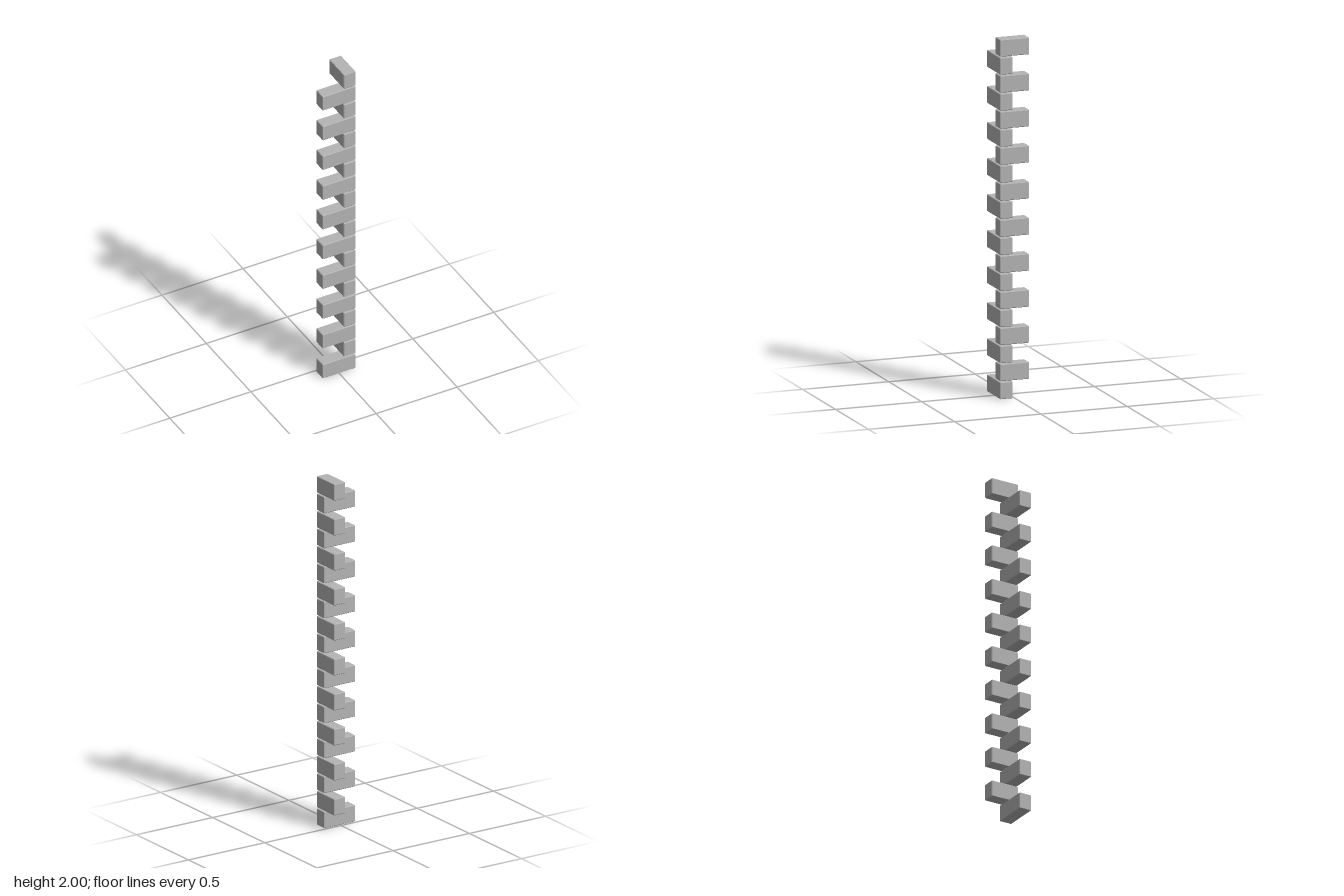
import * as THREE from 'three';
import { ConvexGeometry } from 'three/addons/geometries/ConvexGeometry.js';

// Box with a small flat chamfer on every edge
function chamferedBox(w, h, d, c) {
  const points = [];
  for (const sx of [-1, 1]) for (const sy of [-1, 1]) for (const sz of [-1, 1]) {
    const x = sx * w / 2, y = sy * h / 2, z = sz * d / 2;
    points.push(
      new THREE.Vector3(x, y - sy * c, z - sz * c),
      new THREE.Vector3(x - sx * c, y, z - sz * c),
      new THREE.Vector3(x - sx * c, y - sy * c, z)
    );
  }
  return new ConvexGeometry(points);
}

export function createModel() {
  const group = new THREE.Group();
  group.name = 'cornerQuoins';

  const stone = new THREE.MeshStandardMaterial({ color: 0xb4b4b4 });
  stone.name = 'grey stone';

  const count = 20, height = 0.094, chamfer = 0.003;
  const pitch = (2 - height) / (count - 1);
  const right = 0.102, front = 0.084;   // shared outer corner
  const long = { x: 0.204, z: 0.168 }, short = 0.073;

  const frontGeometry = chamferedBox(long.x, height, short, chamfer);
  const sideGeometry = chamferedBox(short, height, long.z, chamfer);

  // Blocks alternate between running along the front and along the side
  for (let i = 0; i < count; i++) {
    const alongFront = i % 2 === 0;
    const block = new THREE.Mesh(alongFront ? frontGeometry : sideGeometry, stone);
    block.name = (alongFront ? 'frontBlock' : 'sideBlock') + (i + 1);
    block.position.set(
      right - (alongFront ? long.x : short) / 2,
      height / 2 + i * pitch,
      front - (alongFront ? short : long.z) / 2
    );
    group.add(block);
  }
  return group;
}
